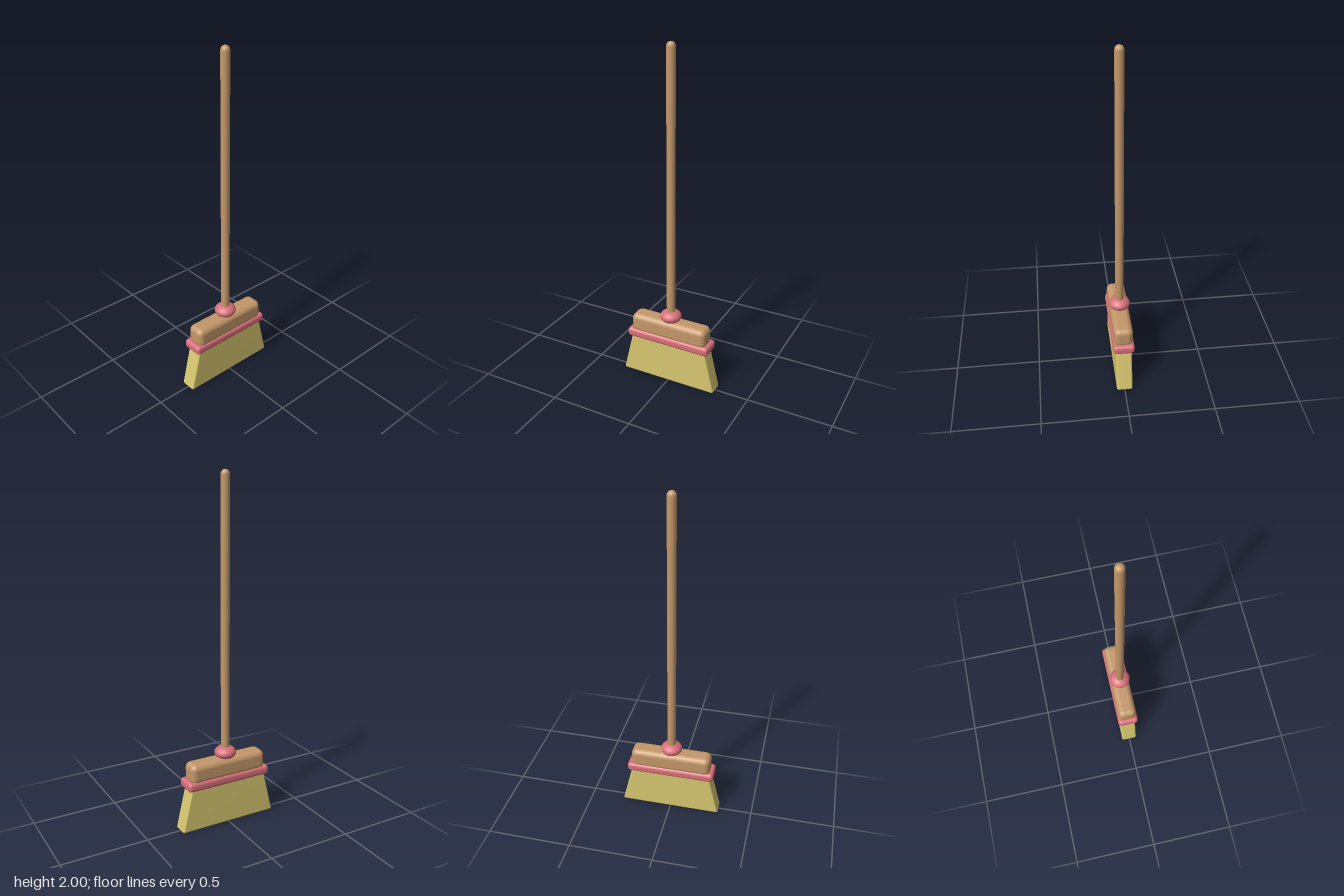
import * as THREE from 'three';
import { RoundedBoxGeometry } from 'three/addons/geometries/RoundedBoxGeometry.js';
import { mergeVertices } from 'three/addons/utils/BufferGeometryUtils.js';

const mat = (name, color) => {
  const m = new THREE.MeshStandardMaterial({ color });
  m.name = name;
  return m;
};

export function createModel() {
  const wood = mat('wood', 0xc4986a);
  const red = mat('soft red', 0xd9707a);
  const straw = mat('straw', 0xd8c870);

  const broom = new THREE.Group();
  broom.name = 'broom';
  const add = (name, geometry, material, y) => {
    const mesh = new THREE.Mesh(geometry, material);
    mesh.name = name;
    mesh.position.y = y;
    broom.add(mesh);
    return mesh;
  };

  // Bristles: a rounded slab that flares evenly towards the floor
  const height = 0.28;
  let slab = new RoundedBoxGeometry(0.6, height, 0.094, 3, 0.012);
  const p = slab.attributes.position;
  for (let i = 0; i < p.count; i++) {
    const up = p.getY(i) + height / 2;
    p.setX(i, p.getX(i) * (1 - 0.8 * up));
  }
  slab.deleteAttribute('normal');
  slab.deleteAttribute('uv');
  slab = mergeVertices(slab);
  slab.computeVertexNormals();
  add('bristles', slab, straw, height / 2);

  // Band and wooden head
  add('band', new RoundedBoxGeometry(0.526, 0.056, 0.126, 4, 0.02), red, 0.276);
  add('head', new RoundedBoxGeometry(0.48, 0.12, 0.112, 4, 0.034), wood, 0.342);

  // Flattened collar where the handle meets the head
  add('collar', new THREE.SphereGeometry(0.063, 18, 12), red, 0.425).scale.y = 0.62;

  // Handle with a softly rounded tip
  const profile = [[0, 0.38], [0.025, 0.38], [0.025, 1.975]].map(([x, y]) => new THREE.Vector2(x, y));
  for (let i = 1; i <= 5; i++) {
    const a = (i / 5) * Math.PI / 2;
    profile.push(new THREE.Vector2(i === 5 ? 0 : 0.025 * Math.cos(a), 1.975 + 0.025 * Math.sin(a)));
  }
  add('handle', new THREE.LatheGeometry(profile, 20), wood, 0);

  return broom;
}
